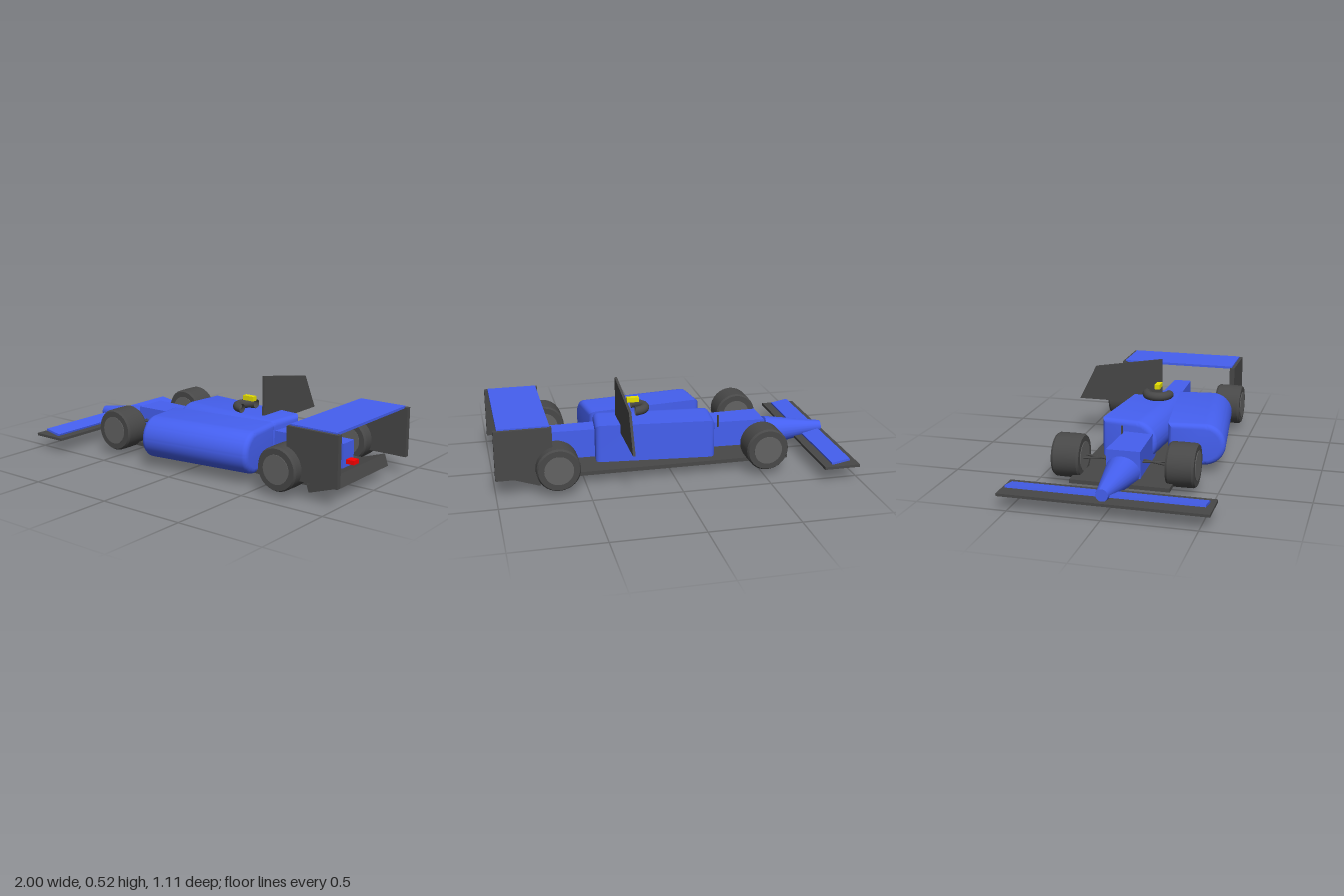
import * as THREE from 'three';
import { toCreasedNormals } from 'three/addons/utils/BufferGeometryUtils.js';

const paint = (color) => new THREE.MeshStandardMaterial({ color, side: THREE.DoubleSide });

export function createModel() {
  const car = new THREE.Group();
  const blue = paint(0x4560f0), dark = paint(0x484848), hubGrey = paint(0x626262);
  const red = paint(0xff0000), yellow = paint(0xe6e000);

  const add = (name, geometry, material, parent = car) => {
    const mesh = new THREE.Mesh(geometry, material);
    mesh.name = name;
    parent.add(mesh);
    return mesh;
  };

  // Box given by its limits on each axis
  const box = (name, x0, x1, y0, y1, z0, z1, material) => {
    const mesh = add(name, new THREE.BoxGeometry(x1 - x0, y1 - y0, z1 - z0), material);
    mesh.position.set((x0 + x1) / 2, (y0 + y1) / 2, (z0 + z1) / 2);
    return mesh;
  };

  // Box whose half width changes from w0 at x0 to w1 at x1
  const taperedBox = (name, x0, x1, y0, y1, w0, w1) => {
    const mesh = box(name, x0, x1, y0, y1, -1, 1, blue);
    const p = mesh.geometry.attributes.position;
    for (let i = 0; i < p.count; i++) p.setZ(i, p.getZ(i) * (p.getX(i) < 0 ? w0 : w1));
    mesh.geometry.computeVertexNormals();
    return mesh;
  };

  // Rod between two points
  const rod = (name, a, b, radius) => {
    const from = new THREE.Vector3(...a), to = new THREE.Vector3(...b);
    const mesh = add(name, new THREE.CylinderGeometry(radius, radius, from.distanceTo(to), 10), dark);
    mesh.position.copy(from).add(to).multiplyScalar(0.5);
    mesh.quaternion.setFromUnitVectors(new THREE.Vector3(0, 1, 0), to.sub(from).normalize());
  };

  // Floor and chassis
  box('floor', -0.67, 0.76, 0.05, 0.072, -0.275, 0.275, dark);
  taperedBox('frontChassis', -0.585, -0.2, 0.077, 0.228, 0.095, 0.08);
  taperedBox('rearChassis', 0.32, 0.84, 0.07, 0.238, 0.067, 0.053);

  // Nose: a cone with a slanted rear end
  let nose = new THREE.CylinderGeometry(0.095, 0.033, 1, 24, 1);
  const np = nose.attributes.position;
  for (let i = 0; i < np.count; i++) {
    const t = np.getY(i) + 0.5, up = np.getX(i), side = np.getZ(i);
    np.setXYZ(i, -0.97 + 0.385 * t - 0.37 * up * t, 0.122 - 0.01 * t + up, -side);
  }
  // the axis swap above mirrors twice, so the winding stays outward
  nose = toCreasedNormals(nose, 0.6);
  add('nose', nose, blue);

  // Front wing
  box('frontWing', -1, -0.795, 0.075, 0.09, -0.555, 0.555, dark);
  const flap = box('frontFlap', -0.95, -0.845, 0.097, 0.11, -0.525, 0.525, blue);
  flap.rotation.z = -0.17;

  // Side pods: flat on one side, half round on the other, rounded ends
  const bevel = 0.03, length = 0.68, width = 0.322, low = 0.051, high = 0.29;
  const r = (high - low) / 2 - bevel, mid = (high + low) / 2;
  const profile = new THREE.Shape();
  profile.moveTo(bevel, low + bevel);
  profile.lineTo(width - bevel - r, low + bevel);
  profile.absarc(width - bevel - r, mid, r, -Math.PI / 2, Math.PI / 2, false);
  profile.lineTo(bevel, high - bevel);
  profile.closePath();
  let pod = new THREE.ExtrudeGeometry(profile, {
    depth: length - 2 * bevel, bevelEnabled: true, bevelSize: bevel,
    bevelThickness: bevel, bevelSegments: 4, curveSegments: 20,
  });
  pod.translate(0, 0, -(length - 2 * bevel) / 2).rotateY(-Math.PI / 2);
  pod = toCreasedNormals(pod, 0.6);
  for (const [name, x, z, yaw] of [['leftSidePod', 0.078, 0.122, 0.125], ['rightSidePod', 0.085, -0.187, -0.095]]) {
    const mesh = add(name, pod, blue);
    mesh.position.set(x, 0, z);
    mesh.rotation.y = yaw;
  }

  // Head guard: half ring, open towards the rear
  const guard = add('headGuard', new THREE.TorusGeometry(0.068, 0.026, 14, 28, Math.PI), dark);
  guard.rotation.set(Math.PI / 2, 0, Math.PI / 2);
  guard.position.set(0.178, 0.33, 0);
  box('camera', 0.145, 0.215, 0.365, 0.392, -0.016, 0.016, yellow);

  // Upright fin reaching out to the right
  const finShape = new THREE.Shape([[0, 0.24], [0.52, 0.24], [0.415, 0.45], [0, 0.518]]
    .map(([x, y]) => new THREE.Vector2(x, y)));
  const fin = add('fin', new THREE.ExtrudeGeometry(finShape, { depth: 0.014, bevelEnabled: false }), dark);
  fin.rotation.y = Math.PI / 2;
  fin.position.x = 0.268;
  box('windscreenPost', -0.312, -0.304, 0.2, 0.272, -0.09, -0.08, dark);

  // Wheels with hubs and crossed suspension arms
  const tyreProfile = [[0.075, -0.5], [0.112, -0.5], [0.12, -0.42], [0.121, 0],
    [0.12, 0.42], [0.112, 0.5], [0.075, 0.5]];
  const axles = [
    { name: 'front', x: -0.515, z: 0.314, w: 0.155 },
    { name: 'rear', x: 0.665, z: 0.348, w: 0.155 },
  ];
  for (const { name, x, z, w } of axles) {
    for (const side of [1, -1]) {
      const wheel = new THREE.Group();
      wheel.name = name + (side > 0 ? 'LeftWheel' : 'RightWheel');
      wheel.position.set(x, 0.154, side * z);
      wheel.rotation.x = Math.PI / 2;
      const points = tyreProfile.map(([rad, h]) => new THREE.Vector2(rad, h * w));
      add('tyre', toCreasedNormals(new THREE.LatheGeometry(points, 32), 0.5), dark, wheel);
      add('hub', new THREE.CylinderGeometry(0.08, 0.08, w + 0.006, 32), hubGrey, wheel);
      car.add(wheel);
      for (const s of [1, -1]) {
        rod(name + 'SuspensionArm', [x - s * 0.03, 0.155, side * 0.05],
          [x + s * 0.035, 0.152, side * (z - 0.06)], 0.006);
      }
    }
  }

  // Rear wing, diffuser and tail light
  box('rearWing', 0.7, 0.98, 0.374, 0.388, -0.35, 0.35, blue);
  for (const side of [1, -1]) {
    box('rearEndPlate', 0.69, 1, 0.1, 0.38, side * 0.353 - 0.015, side * 0.353 + 0.015, dark);
  }
  const diffuser = box('diffuser', 0.735, 0.94, 0.03, 0.1, -0.245, 0.245, dark);
  diffuser.rotation.z = 0.32;
  box('tailLight', 0.84, 0.89, 0.122, 0.146, -0.026, 0.026, red);

  return car;
}
